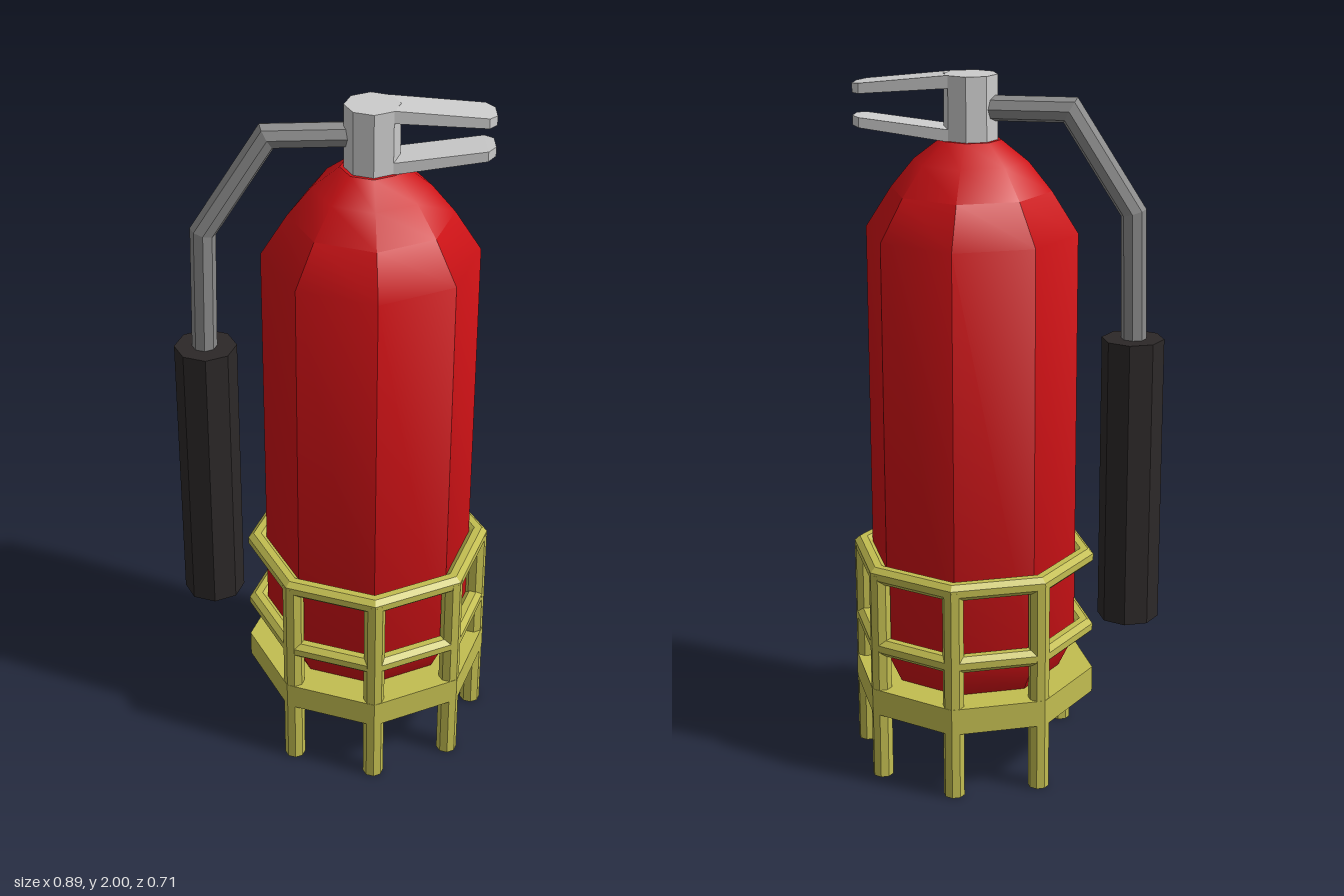
import * as THREE from 'three';
import { toCreasedNormals } from 'three/addons/utils/BufferGeometryUtils.js';

const CX = 0.09; // axis of the tank
const SIDES = 8;
const flat = (color) => new THREE.MeshStandardMaterial({ color, flatShading: true });

function add(parent, name, geometry, material, x = 0, y = 0, z = 0) {
  const mesh = new THREE.Mesh(geometry, material);
  mesh.name = name;
  mesh.position.set(x, y, z);
  parent.add(mesh);
  return mesh;
}

const lathe = (points) =>
  new THREE.LatheGeometry(points.map(([r, y]) => new THREE.Vector2(r, y)), SIDES);

// Joins equal-sized rings of [x, y, z] points and caps both ends
function loft(rings) {
  const n = rings[0].length, last = (rings.length - 1) * n, index = [];
  for (let i = 0; i < rings.length - 1; i++) {
    for (let j = 0; j < n; j++) {
      const a = i * n + j, b = i * n + (j + 1) % n;
      index.push(a, b, a + n, b, b + n, a + n);
    }
  }
  for (let j = 1; j < n - 1; j++) index.push(0, j + 1, j, last, last + j, last + j + 1);
  const g = new THREE.BufferGeometry();
  g.setAttribute('position', new THREE.Float32BufferAttribute(rings.flat(2), 3));
  g.setIndex(index);
  g.computeVertexNormals();
  return g;
}

// Octagonal pipe with mitred bends along a path in the xy plane
function pipe(path, radius) {
  const pts = path.map(([x, y]) => new THREE.Vector2(x, y));
  const rings = pts.map((p, i) => {
    const before = p.clone().sub(pts[Math.max(i - 1, 0)]).normalize();
    const after = pts[Math.min(i + 1, pts.length - 1)].clone().sub(p).normalize();
    const t = before.clone().add(after).normalize();
    const mitre = 1 / t.dot(i ? before : after);
    return Array.from({ length: SIDES }, (_, j) => {
      const a = (j / SIDES) * Math.PI * 2;
      const c = Math.cos(a) * radius * mitre;
      return [p.x - t.y * c, p.y + t.x * c, Math.sin(a) * radius];
    });
  });
  return loft(rings);
}

// Flat lever from sections of [x, top, bottom, half width]
const lever = (sections) =>
  loft(sections.map(([x, t, b, h]) => [[x, t, h], [x, b, h], [x, b, -h], [x, t, -h]]));

export function createModel() {
  const model = new THREE.Group();
  model.name = 'fireExtinguisher';
  const olive = flat(0xc2bd50), grey = flat(0xcccccc);
  const hoseGrey = flat(0x8a8a8a), black = flat(0x2c2828);
  const red = new THREE.MeshStandardMaterial({ color: 0xcc1115 });

  // Tank with a rounded shoulder and tapered foot
  const tank = lathe([
    [0, 0.22], [0.22, 0.22], [0.255, 0.28], [0.298, 0.37], [0.298, 1.57],
    [0.225, 1.685], [0.16, 1.765], [0.085, 1.823], [0, 1.823],
  ]);
  add(model, 'tank', toCreasedNormals(tank, 0.65), red, CX);

  // Stand: base plate, two rails, and posts all round except beside the horn
  const stand = new THREE.Group();
  stand.name = 'stand';
  stand.position.x = CX;
  model.add(stand);
  add(stand, 'basePlate', new THREE.CylinderGeometry(0.353, 0.353, 0.077, SIDES), olive, 0, 0.237);

  const section = [];
  for (let i = 0; i <= 8; i++) {
    const a = (i / 8) * Math.PI * 2 + Math.PI / 8;
    section.push([0.325 + 0.029 * Math.cos(a), 0.026 * Math.sin(a)]);
  }
  const rail = lathe(section);
  add(stand, 'lowerRail', rail, olive, 0, 0.404);
  add(stand, 'upperRail', rail, olive, 0, 0.622);

  const post = new THREE.CylinderGeometry(0.03, 0.03, 0.625, SIDES);
  for (let i = 0; i < 8; i++) {
    if (i === 4) continue;
    const a = (i / 8) * Math.PI * 2;
    add(stand, 'post', post, olive, 0.322 * Math.cos(a), 0.3125, 0.322 * Math.sin(a));
  }

  // Valve head with its two squeeze levers
  add(model, 'valveHead', new THREE.CylinderGeometry(0.075, 0.075, 0.18, SIDES), grey, CX, 1.91);
  add(model, 'upperLever',
    lever([[0.1, 2, 1.965, 0.053], [0.15, 2, 1.965, 0.053],
      [0.39, 1.974, 1.946, 0.053], [0.413, 1.971, 1.945, 0.028]]), grey);
  add(model, 'lowerLever',
    lever([[0.1, 1.855, 1.82, 0.053], [0.15, 1.855, 1.822, 0.053],
      [0.39, 1.881, 1.853, 0.053], [0.413, 1.883, 1.857, 0.028]]), grey);

  // Bent hose and the discharge horn hanging from it
  add(model, 'hose',
    pipe([[0.05, 1.91], [-0.185, 1.91], [-0.36, 1.636], [-0.368, 1.25]], 0.035),
    hoseGrey, 0, 0, -0.012);
  add(model, 'horn',
    lathe([[0, 0.5], [0.06, 0.5], [0.06, 0.457], [0.087, 0.457], [0.087, 1.283], [0, 1.283]]),
    black, -0.365, 0, -0.012);

  return model;
}
